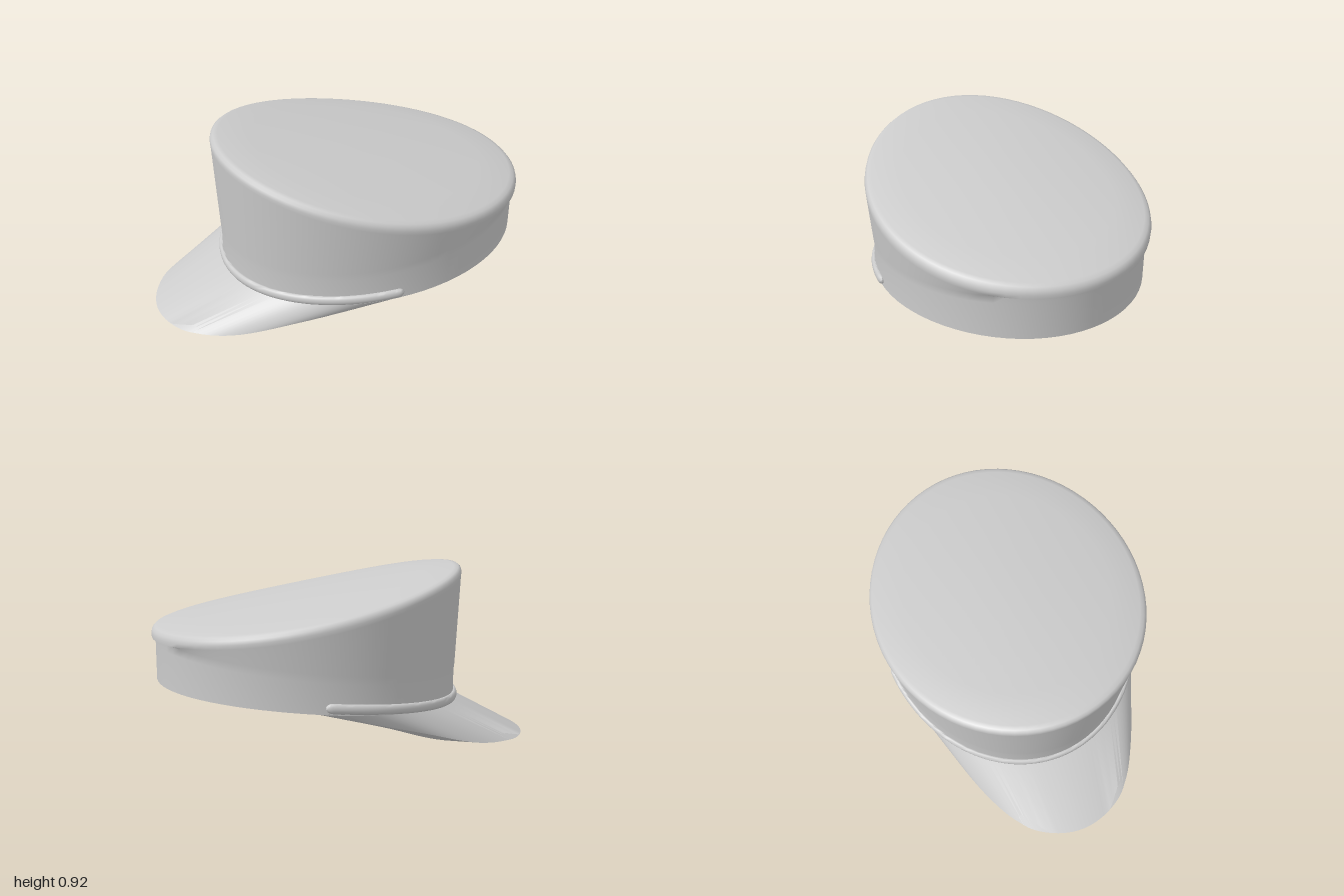
import * as THREE from 'three';
import { toCreasedNormals } from 'three/addons/utils/BufferGeometryUtils.js';

const material = new THREE.MeshStandardMaterial({ color: 0xcccccc, side: THREE.DoubleSide });

// Surface swept over a grid of points, fn(u, row) with u in 0..1
function loft(name, nu, rows, fn, crease) {
  const pos = [], index = [];
  for (let j = 0; j < rows; j++) {
    for (let i = 0; i <= nu; i++) pos.push(...fn(i / nu, j));
  }
  for (let j = 0; j < rows - 1; j++) {
    for (let i = 0; i < nu; i++) {
      const a = j * (nu + 1) + i, b = a + nu + 1;
      index.push(a, b, a + 1, a + 1, b, b + 1);
    }
  }
  const geo = new THREE.BufferGeometry();
  geo.setAttribute('position', new THREE.Float32BufferAttribute(pos, 3));
  geo.setIndex(index);
  const mesh = new THREE.Mesh(toCreasedNormals(geo, crease), material);
  mesh.name = name;
  return mesh;
}

// Oval plan of the cap; flare 0 is the band, 1 the wider crown rim
const plan = (angle, flare, scale = 1) => [
  0.18 - 0.005 * flare + (0.79 + 0.025 * flare) * scale * Math.cos(angle),
  (0.677 + 0.028 * flare) * scale * Math.sin(angle),
];
// Heights: c and s are the unit-circle coordinates, c = -1 at the peak side
const hemY = (c) => 0.295 + 0.07 * c - 0.025 * c * c;
const flareY = (c) => 0.45 + 0.09 * c;
const topY = (c, s) => 0.79 - 0.155 * c - 0.015 * c * c - 0.065 * s * s;

function createCrown() {
  // Each row: [level, flare, scale, drop below the level]
  const profile = [];
  for (const r of [0, 0.25, 0.5, 0.75, 0.97]) profile.push(['top', 1, r, 0.025]);
  profile.push(['flare', 0, 0.98, 0], ['hem', 0, 0.98, 0]);
  profile.push(['hem', 0, 1, 0], ['flare', 0, 1, 0], ['flare', 0.15, 1, -0.04]);
  profile.push(['top', 0.93, 1, 0.055], ['top', 1, 1, 0.035], ['top', 1, 0.994, 0.016]);
  profile.push(['top', 1, 0.978, 0.004]);
  for (const r of [0.95, 0.75, 0.5, 0.25, 0]) profile.push(['top', 1, r, 0]);
  return loft('crown', 72, profile.length, (u, j) => {
    const [level, flare, scale, drop] = profile[j];
    const angle = u * Math.PI * 2, c = Math.cos(angle), s = Math.sin(angle);
    const [x, z] = plan(angle, flare, scale);
    const y = level === 'top' ? topY(c * scale, s * scale) : level === 'hem' ? hemY(c) : flareY(c);
    return [x, y - drop, z];
  }, 0.9);
}

function createPeak() {
  const curve = (pts) => new THREE.CatmullRomCurve3(pts.map((p) => new THREE.Vector3(...p)), false, 'centripetal');
  // Half edges, running from the side of the band to the tip
  const tip = [[-0.85, 0.018, 0.31], [-0.96, 0.005, 0.17], [-1, 0, 0], [-0.96, 0.005, -0.17]];
  const outer = curve([[0.17, 0.294, 0.674], [-0.34, 0.148, 0.545], [-0.67, 0.045, 0.42], ...tip]);
  const lower = curve([[0.17, 0.29, 0.662], [-0.16, 0.18, 0.54], [-0.48, 0.066, 0.42], ...tip]);
  return loft('peak', 64, 4, (u, j) => {
    const half = u <= 0.5 ? u * 2 : 2 - u * 2, side = u <= 0.5 ? 1 : -1;
    if (j === 1 || j === 2) {
      // The tip is five sixths of the way along the curve
      const p = (j === 1 ? lower : outer).getPoint(half * 5 / 6);
      return [p.x, p.y, p.z * side];
    }
    const angle = Math.PI / 2 * (1 + half);
    const [x, z] = plan(angle, 0, j === 0 ? 0.98 : 1);
    return [x, hemY(Math.cos(angle)) + (j === 0 ? 0 : 0.006), z * side];
  }, 0.6);
}

function createStrap() {
  // Flat oval cord laid on the wall with rounded ends
  const start = Math.PI * 0.515, sweep = Math.PI * 2 - 2 * start, sides = 14;
  return loft('strap', 96, sides + 1, (u, j) => {
    const along = (1 - Math.cos(u * Math.PI)) / 2;
    const angle = start + sweep * along, c = Math.cos(angle), s = Math.sin(angle);
    const end = Math.min(1, Math.min(along, 1 - along) / 0.014);
    const round = Math.sqrt(Math.max(0, 1 - (1 - end) ** 2));
    const v = j / sides * Math.PI * 2;
    const out = 0.004 + 0.016 * round * Math.cos(v);
    const [x, z] = plan(angle, 0);
    return [x + c * out, hemY(c) + 0.033 + 0.025 * round * Math.sin(v), z + s * out];
  }, 1.2);
}

export function createModel() {
  const cap = new THREE.Group();
  cap.name = 'peakedCap';
  cap.add(createCrown(), createPeak(), createStrap());
  return cap;
}
